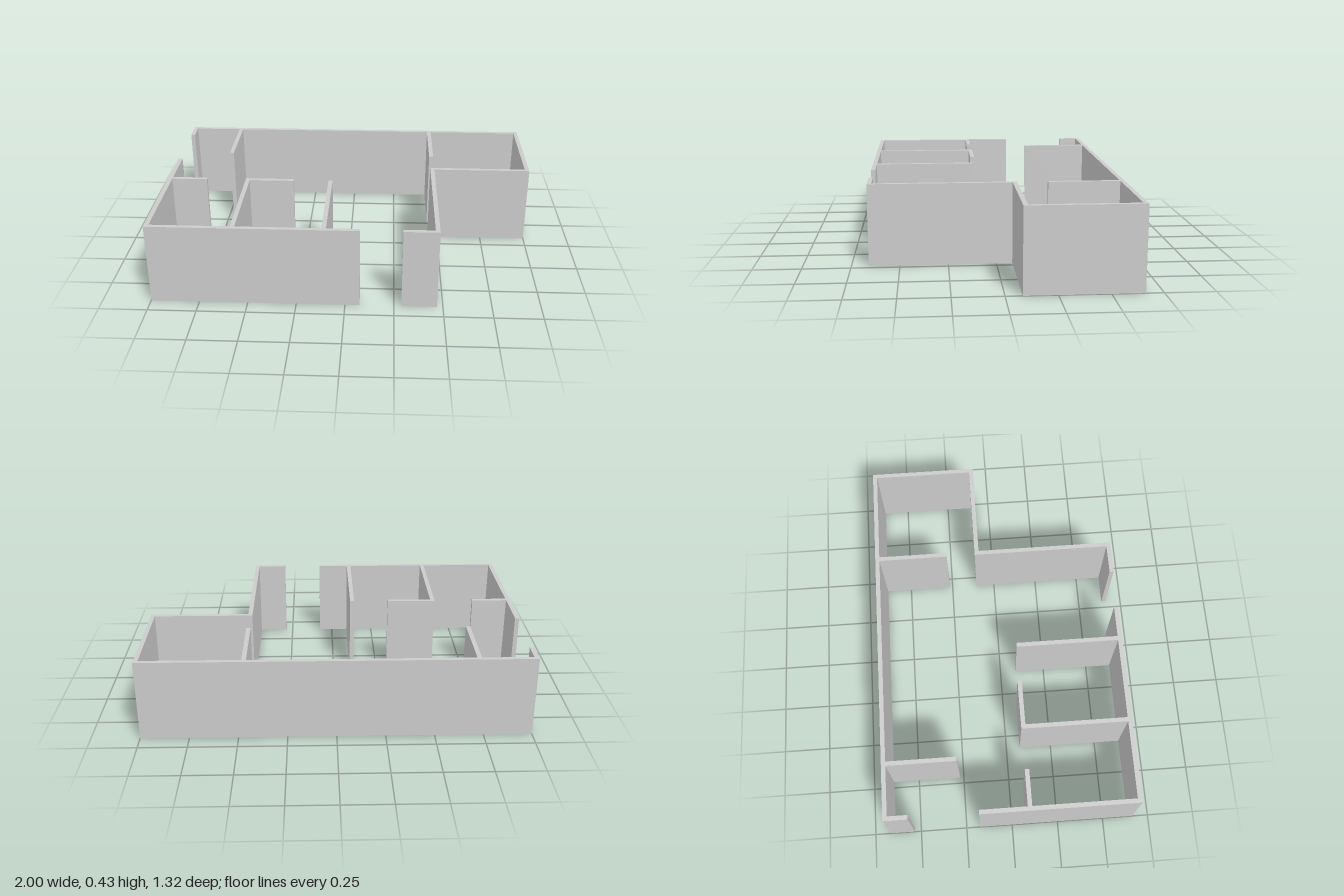
import * as THREE from 'three';

const HEIGHT = 0.43;
const HALF = 0.0115; // half the wall thickness

// Upright wall following a right-angled floor path of [x, z] points, with mitred corners
function wall(name, path, material) {
  const points = path.map(([x, z]) => new THREE.Vector2(x, -z));
  const normals = points.slice(1).map((p, i) => {
    const d = p.clone().sub(points[i]).normalize();
    return new THREE.Vector2(-d.y, d.x);
  });
  const side = (s) => points.map((p, i) => {
    const offset = new THREE.Vector2();
    if (i > 0) offset.add(normals[i - 1]);
    if (i < normals.length) offset.add(normals[i]);
    return p.clone().addScaledVector(offset, s * HALF);
  });
  const outline = new THREE.Shape([...side(1), ...side(-1).reverse()]);
  const geometry = new THREE.ExtrudeGeometry(outline, { depth: HEIGHT, bevelEnabled: false });
  geometry.rotateX(-Math.PI / 2);
  const mesh = new THREE.Mesh(geometry, material);
  mesh.name = name;
  return mesh;
}

export function createModel() {
  const group = new THREE.Group();
  group.name = 'floorPlan';
  const material = new THREE.MeshStandardMaterial({ color: 0xcccccc });

  // Wall centre lines on the floor
  const walls = {
    // outer shell, broken by the two door openings
    outerWallMain: [[0.288, 0.649], [0.458, 0.649], [0.458, -0.094], [0.988, -0.094],
      [0.988, -0.651], [-0.988, -0.651], [-0.988, -0.535]],
    outerWallCorner: [[-0.988, -0.174], [-0.988, 0.649], [0.075, 0.649]],
    // inner partitions, starting at the faces of the outer walls
    backRightPartition: [[0.458, -0.64], [0.458, -0.266]],
    backLeftPartition: [[-0.706, -0.64], [-0.706, -0.271]],
    sideStub: [[-0.977, 0.087], [-0.785, 0.087]],
    cornerPartition: [[-0.56, 0.638], [-0.56, 0.087], [-0.307, 0.087]],
    frontPartition: [[-0.105, 0.638], [-0.105, 0.087]],
  };
  for (const [name, path] of Object.entries(walls)) group.add(wall(name, path, material));
  return group;
}
